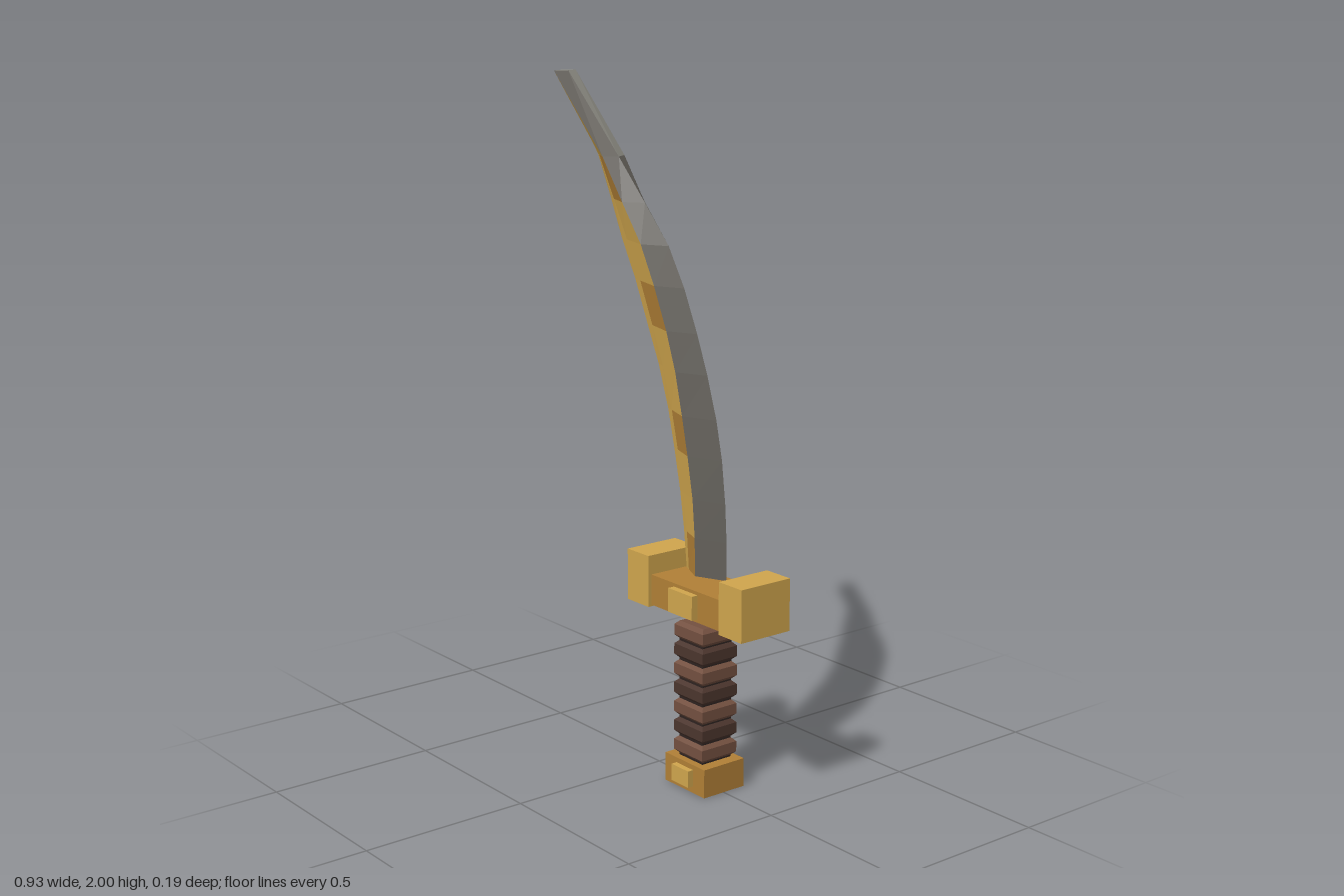
import * as THREE from 'three';

const makeMat = (name, color) => {
  const m = new THREE.MeshStandardMaterial({ color });
  m.name = name;
  return m;
};

export function createModel() {
  const brightGold = makeMat('bright gold', 0xcfa54d);
  const darkGold = makeMat('dark gold', 0xb07f36);
  const steel = makeMat('light steel', 0x8e8d85);
  const darkSteel = makeMat('dark steel', 0x625f59);
  const leather = makeMat('light leather', 0x735040);
  const darkLeather = makeMat('dark leather', 0x4b352d);
  const core = makeMat('grip core', 0x2e2320);

  const model = new THREE.Group();
  model.name = 'curvedSword';
  const add = (name, geometry, material, parent = model) => {
    const mesh = new THREE.Mesh(geometry, material);
    mesh.name = name;
    parent.add(mesh);
    return mesh;
  };
  // Box given by its minimum and maximum corners
  const box = (name, mat, x0, x1, y0, y1, z0, z1) => {
    const g = new THREE.BoxGeometry(x1 - x0, y1 - y0, z1 - z0);
    g.translate((x0 + x1) / 2, (y0 + y1) / 2, (z0 + z1) / 2);
    return add(name, g, mat);
  };

  // Pommel and its stud
  box('pommel', darkGold, 0.12, 0.295, 0, 0.085, -0.075, 0.072);
  box('pommelStud', brightGold, 0.17, 0.245, 0.02, 0.07, 0.06, 0.09);

  // Grip: seven chamfered square wraps around a dark core
  box('gripCore', core, 0.156, 0.26, 0.08, 0.488, -0.055, 0.05);
  const profile = [[0, 0], [0.052, 0], [0.0635, 0.011], [0.0635, 0.042], [0.052, 0.053], [0, 0.053]]
    .map(([r, y]) => new THREE.Vector2(r * Math.SQRT2, y));
  for (let i = 0; i < 7; i++) {
    const g = new THREE.LatheGeometry(profile, 4, Math.PI / 4).toNonIndexed();
    g.computeVertexNormals();
    g.translate(0.208, 0.09 + i * 0.0578, -0.003);
    add('gripWrap', g, i % 2 ? darkLeather : leather);
  }

  // Crossguard
  box('guardBar', darkGold, 0.05, 0.37, 0.515, 0.605, -0.081, 0.072);
  box('guardStud', brightGold, 0.157, 0.262, 0.525, 0.595, 0.06, 0.093);
  box('rightGuardBlock', brightGold, -0.042, 0.054, 0.51, 0.662, -0.092, 0.083);
  box('leftGuardBlock', brightGold, 0.366, 0.462, 0.51, 0.662, -0.092, 0.083);

  // Blade sections: height, outer edge x, ridge x, inner edge x, banded above
  const rows = [
    [0.63, 0.295, 0.205, 0.12, 1],
    [0.74, 0.295, 0.203, 0.108, 0],
    [0.85, 0.288, 0.193, 0.09, 0],
    [0.97, 0.273, 0.17, 0.063, 1],
    [1.08, 0.248, 0.145, 0.035, 0],
    [1.2, 0.208, 0.115, -0.008, 0],
    [1.31, 0.163, 0.075, -0.06, 1],
    [1.43, 0.106, 0.02, -0.115, 0],
    [1.54, 0.037, -0.04, -0.177, 0],
    [1.65, -0.07, -0.125, -0.228, 1],
    [1.77, -0.19, -0.215, -0.288, 0],
    [2.0, -0.43, -0.447, -0.465, 0],
  ];
  const zMid = -0.004, half = 0.039;
  const rings = rows.map(([y, o, r, i, band]) => {
    const inner = new THREE.Vector3(i, y, zMid);
    const front = new THREE.Vector3(r, y, zMid + half);
    return {
      band, inner, front,
      outer: new THREE.Vector3(o, y, zMid),
      back: new THREE.Vector3(r, y, zMid - half),
      trim: inner.clone().lerp(front, 0.27),
    };
  });
  const blade = new THREE.Group();
  blade.name = 'blade';
  model.add(blade);
  const quads = (name, mat, list) => {
    const pts = list.flatMap(([a, b, c, d]) => [a, b, c, a, c, d]);
    const g = new THREE.BufferGeometry().setFromPoints(pts);
    g.computeVertexNormals();
    add(name, g, mat, blade);
  };
  // One long face of the blade, split into plain and banded stretches
  const face = (name, left, right, plainMat, bandMat) => {
    const plain = [], banded = [];
    for (let k = 0; k < rings.length - 1; k++) {
      const a = rings[k], b = rings[k + 1];
      (a.band && bandMat !== plainMat ? banded : plain).push([a[left], a[right], b[right], b[left]]);
    }
    quads(name, plainMat, plain);
    if (banded.length) quads(name + 'Bands', bandMat, banded);
  };
  face('frontTrim', 'inner', 'trim', brightGold, brightGold);
  face('frontInnerFace', 'trim', 'front', brightGold, darkGold);
  face('frontOuterFace', 'front', 'outer', darkSteel, darkSteel);
  face('backOuterFace', 'outer', 'back', steel, darkSteel);
  face('backInnerFace', 'back', 'inner', brightGold, darkGold);

  // Flat ends of the blade
  const tip = rings[rings.length - 1], base = rings[0];
  quads('bladeTip', steel, [[tip.outer, tip.back, tip.inner, tip.front]]);
  quads('bladeBase', steel, [[base.outer, base.front, base.inner, base.back]]);

  return model;
}
